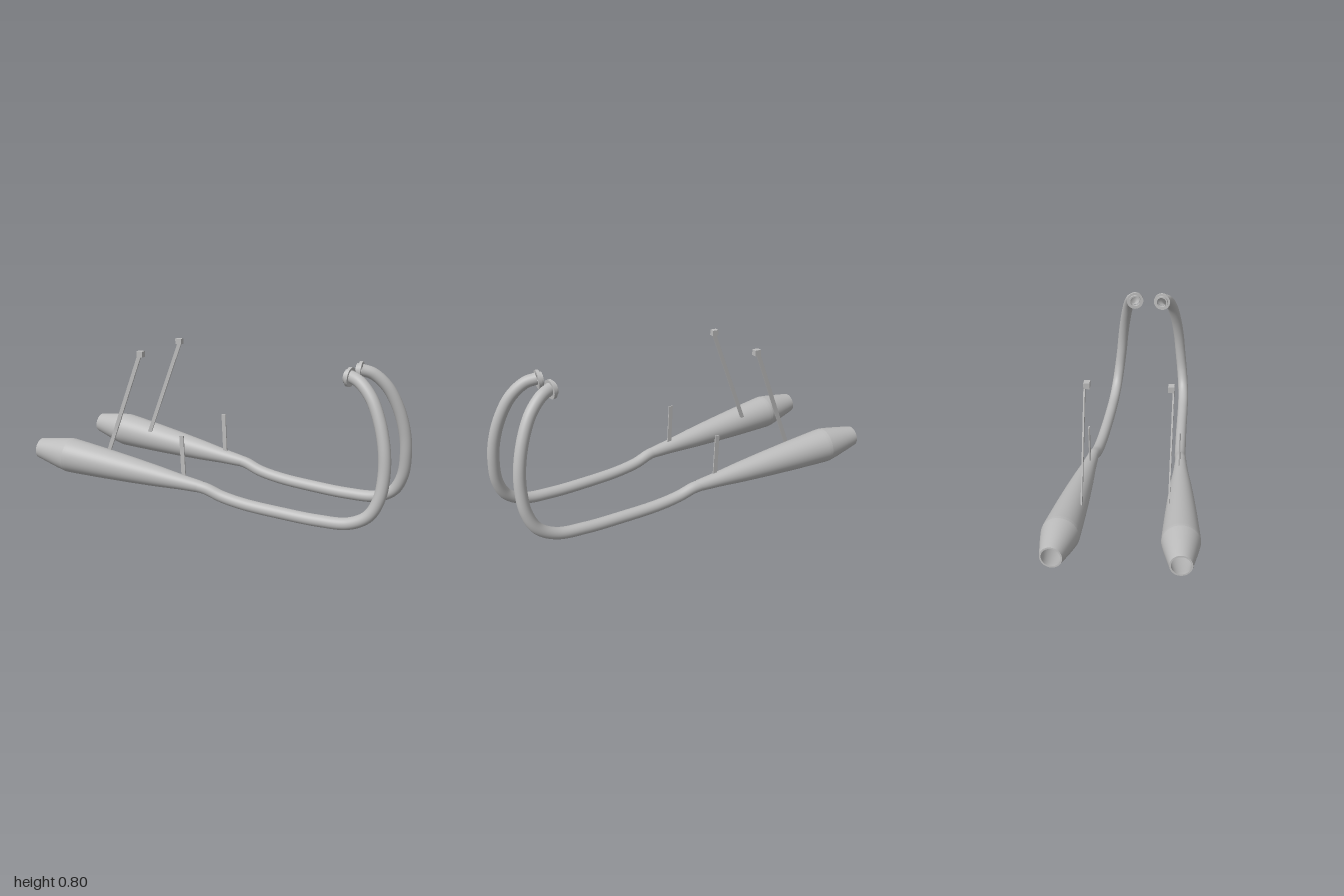
import * as THREE from 'three';

const steel = new THREE.MeshStandardMaterial({ color: 0xbbbbbb, side: THREE.DoubleSide });
steel.name = 'brushed steel';

const UP = new THREE.Vector3(0, 1, 0);

function add(group, name, geometry) {
  const mesh = new THREE.Mesh(geometry, steel);
  mesh.name = name;
  group.add(mesh);
  return mesh;
}

// Surface of revolution: profile pairs [radius, distance] run from origin along direction
function turned(group, name, profile, origin, direction) {
  const points = profile.map(([r, d]) => new THREE.Vector2(r, d));
  const mesh = add(group, name, new THREE.LatheGeometry(points, 48));
  mesh.position.copy(origin);
  mesh.quaternion.setFromUnitVectors(UP, direction.clone().normalize());
  return mesh;
}

// Flat strap in the x-y plane between two points
function strap(group, name, a, b, width, thickness, z) {
  const dx = b[0] - a[0], dy = b[1] - a[1];
  const mesh = add(group, name, new THREE.BoxGeometry(width, Math.hypot(dx, dy), thickness));
  mesh.position.set((a[0] + b[0]) / 2, (a[1] + b[1]) / 2, z);
  mesh.rotation.z = -Math.atan2(dx, dy);
}

// One complete exhaust; s is +1 or -1 for the side it sits on
function createExhaust(s) {
  const g = new THREE.Group();

  // Header pipe, from the flange down and back to the silencer
  const path = new THREE.CatmullRomCurve3([
    [0.742, 0.757, 0.083], [0.8, 0.737, 0.106], [0.87, 0.67, 0.132], [0.925, 0.56, 0.156],
    [0.959, 0.43, 0.175], [0.967, 0.31, 0.187], [0.952, 0.19, 0.201], [0.905, 0.1, 0.212],
    [0.81, 0.048, 0.219], [0.65, 0.036, 0.223], [0.45, 0.042, 0.227], [0.25, 0.056, 0.233],
    [0.12, 0.079, 0.238], [0.03, 0.11, 0.245], [-0.04, 0.12, 0.25],
  ].map(([x, y, z]) => new THREE.Vector3(x, y, z * s)));
  add(g, 'headerPipe', new THREE.TubeGeometry(path, 160, 0.031, 28, false));

  // Mounting flange and collar at the top of the pipe
  const flangeAt = new THREE.Vector3(0.735, 0.752, 0.08 * s);
  const flangeDir = new THREE.Vector3(1, -0.08, 0.12 * s);
  const ring = (name, inner, outer, from, to) => {
    const corners = [[inner, from], [outer, from], [outer, to], [inner, to], [inner, from]];
    for (let i = 0; i < 4; i++) {
      turned(g, name, [corners[i], corners[i + 1]], flangeAt, flangeDir);
    }
  };
  ring('flange', 0.03, 0.049, -0.003, 0.013);
  ring('flangeCollar', 0.028, 0.036, -0.016, -0.003);

  // Silencer: long megaphone, seam, tail cone, lip and inner wall
  const origin = new THREE.Vector3(0, 0.116, 0.246 * s);
  const axis = new THREE.Vector3(-1, 0.092, 0.056 * s);
  turned(g, 'silencerBody', [
    [0.03, -0.01], [0.034, 0.03], [0.041, 0.12], [0.056, 0.26], [0.07, 0.42],
    [0.082, 0.58], [0.091, 0.72], [0.095, 0.79],
  ], origin, axis);
  turned(g, 'silencerSeam', [[0.095, 0.79], [0.095, 0.808]], origin, axis);
  turned(g, 'tailCone', [[0.095, 0.808], [0.086, 0.86], [0.072, 0.925], [0.059, 0.985], [0.055, 1.001]],
    origin, axis);
  turned(g, 'tailLip', [[0.055, 1.001], [0.047, 1.001]], origin, axis);
  turned(g, 'tailInnerWall', [[0.047, 1.001], [0.052, 0.97], [0.085, 0.81], [0.083, 0.7], [0, 0.7]],
    origin, axis);

  // Hanger straps and the mounting block
  strap(g, 'rearHanger', [-0.605, 0.19], [-0.378, 0.785], 0.022, 0.008, 0.217 * s);
  const block = add(g, 'hangerBlock', new THREE.BoxGeometry(0.036, 0.031, 0.03));
  block.position.set(-0.378, 0.786, 0.206 * s);
  strap(g, 'frontHanger', [-0.104, 0.155], [-0.115, 0.38], 0.024, 0.007, 0.244 * s);
  return g;
}

export function createModel() {
  const model = new THREE.Group();
  model.name = 'exhaustPair';
  for (const s of [1, -1]) {
    const side = createExhaust(s);
    side.name = s > 0 ? 'nearExhaust' : 'farExhaust';
    model.add(side);
  }
  return model;
}
